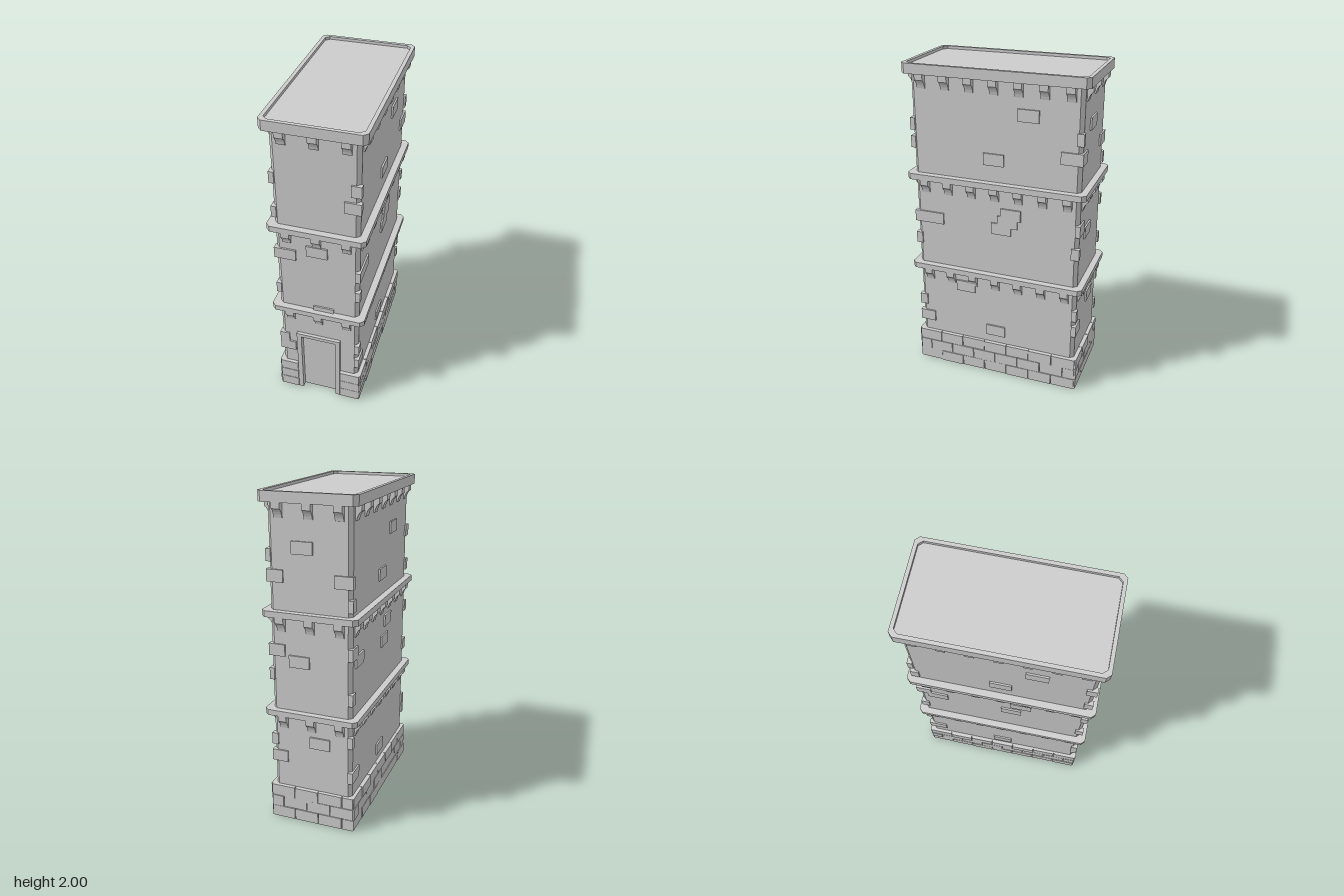
import * as THREE from 'three';

const mat = new THREE.MeshStandardMaterial({ color: 0xcccccc, flatShading: true });
const WX = 0.247, WZ = 0.517; // wall half sizes

function mesh(parent, name, geo) {
  const m = new THREE.Mesh(geo, mat);
  m.name = name;
  parent.add(m);
  return m;
}

function group(parent, name) {
  const g = new THREE.Group();
  g.name = name;
  parent.add(g);
  return g;
}

// Box given by its min and max corners
function block(parent, name, x0, x1, y0, y1, z0, z1) {
  const m = mesh(parent, name, new THREE.BoxGeometry(x1 - x0, y1 - y0, z1 - z0));
  m.position.set((x0 + x1) / 2, (y0 + y1) / 2, (z0 + z1) / 2);
  return m;
}

// Rectangle with cut corners; shape y maps to -z. Optional notch on the front edge.
function chamfered(hx, hz, c, notch) {
  const pts = [[-hx + c, -hz]];
  if (notch) pts.push([notch.x0, -hz], [notch.x0, -notch.z], [notch.x1, -notch.z], [notch.x1, -hz]);
  pts.push([hx - c, -hz], [hx, -hz + c], [hx, hz - c], [hx - c, hz], [-hx + c, hz], [-hx, hz - c], [-hx, -hz + c]);
  return new THREE.Shape(pts.map(p => new THREE.Vector2(...p)));
}

function slab(parent, name, shape, y0, y1) {
  const geo = new THREE.ExtrudeGeometry(shape, { depth: y1 - y0, bevelEnabled: false });
  geo.rotateX(-Math.PI / 2);
  mesh(parent, name, geo).position.y = y0;
}

// Turned holder for one side: local x runs along the wall, local z points outward
function side(parent, name, angle) {
  const g = group(parent, name);
  g.rotation.y = angle;
  return g;
}

let seed = 7;
function rnd() {
  seed = (seed * 16807) % 2147483647;
  return seed / 2147483647;
}

export function createModel() {
  const root = new THREE.Group();
  root.name = 'tower';
  const door = { x0: -0.115, x1: 0.105, z: 0.5 };

  // Walls, with the doorway recessed into the lowest part
  slab(root, 'lowerWall', chamfered(WX, WZ, 0.022, door), 0, 0.475);
  slab(root, 'upperWall', chamfered(WX, WZ, 0.022), 0.475, 1.96);

  // Door surround
  const frame = new THREE.Shape([[-0.145, 0], [-0.115, 0], [-0.115, 0.475], [0.105, 0.475], [0.105, 0],
    [0.135, 0], [0.135, 0.5], [-0.145, 0.5]].map(p => new THREE.Vector2(...p)));
  mesh(root, 'doorFrame', new THREE.ExtrudeGeometry(frame, { depth: 0.035, bevelEnabled: false })).position.z = 0.501;

  // String courses and roof parapet
  slab(root, 'lowerCornice', chamfered(0.288, 0.556, 0.024), 0.695, 0.73);
  slab(root, 'middleCornice', chamfered(0.288, 0.556, 0.024), 1.3, 1.337);
  slab(root, 'roof', chamfered(0.288, 0.556, 0.024), 1.94, 1.983);
  const rim = chamfered(0.288, 0.556, 0.024);
  rim.holes.push(chamfered(0.265, 0.534, 0.024));
  slab(root, 'parapet', rim, 1.983, 2);

  // Corbels: straight face on top, hollow curve below
  const profile = new THREE.Shape();
  profile.moveTo(-0.01, 0);
  profile.lineTo(-0.01, -0.085);
  profile.lineTo(0.006, -0.085);
  profile.quadraticCurveTo(0.012, -0.045, 0.034, -0.034);
  profile.lineTo(0.034, 0);
  const corbelGeo = new THREE.ExtrudeGeometry(profile, { depth: 0.05, bevelEnabled: false, curveSegments: 4 });
  corbelGeo.translate(0, 0, -0.025);
  corbelGeo.rotateY(-Math.PI / 2);

  // Wall faces: [name, turn, wall distance, corbel count, spacing, loose bricks as (along, height)]
  const faces = [
    ['front', 0, WZ, 3, 0.177, [[0, 1.18], [0.033, 0.724]]],
    ['right', Math.PI / 2, WX, 7, 0.149,
      [[0.205, 1.755], [-0.005, 1.475], [0.1, 1.14], [0.04, 1.04], [-0.4, 1.05], [-0.2, 0.6], [0, 0.31], [0.08, 1.09]]],
    ['back', Math.PI, WZ, 3, 0.177, [[-0.04, 1.7], [-0.07, 1.04], [0.05, 0.54]]],
    ['left', -Math.PI / 2, WX, 7, 0.149,
      [[0.2, 1.72], [0, 1.47], [0.12, 1.15], [0.06, 1.03], [-0.4, 1.06], [0, 0.31]]],
  ];
  for (const [name, turn, dist, count, step, bricks] of faces) {
    const g = side(root, name + 'Details', turn);
    for (const y of [0.695, 1.3, 1.94]) {
      for (let i = 0; i < count; i++) {
        mesh(g, 'corbel', corbelGeo).position.set((i - (count - 1) / 2) * step, y, dist);
      }
    }
    for (const [u, y] of bricks) {
      block(g, 'wallBrick', u - 0.063, u + 0.063, y - 0.036, y + 0.036, dist - 0.02, dist + 0.01);
    }
  }

  // Corner stones: [height, length along x, length along z]
  const quoins = group(root, 'cornerStones');
  const corners = [
    [1, 1, [[1.64, 0.06, 0.03], [1.53, 0.096, 0.03], [1.05, 0.03, 0.11], [0.9, 0.03, 0.04], [0.45, 0.03, 0.05], [0.33, 0.03, 0.1]]],
    [-1, 1, [[1.645, 0.03, 0.06], [1.42, 0.03, 0.05], [1.13, 0.13, 0.04], [0.86, 0.03, 0.05], [0.44, 0.06, 0.04], [0.37, 0.1, 0.04]]],
    [1, -1, [[1.65, 0.03, 0.04], [1.535, 0.1, 0.13], [1.1, 0.1, 0.03], [0.95, 0.03, 0.05], [0.53, 0.04, 0.03], [0.42, 0.1, 0.03]]],
    [-1, -1, [[1.53, 0.11, 0.03], [1.4, 0.03, 0.05], [1.12, 0.03, 0.09], [0.85, 0.03, 0.05], [0.35, 0.03, 0.12], [0.58, 0.03, 0.03]]],
  ];
  for (const [sx, sz, list] of corners) {
    for (const [y, lx, lz] of list) {
      const m = mesh(quoins, 'cornerStone', new THREE.BoxGeometry(lx, 0.072, lz));
      m.position.set(sx * (0.257 - lx / 2), y, sz * (0.527 - lz / 2));
    }
  }

  // Plinth: three staggered rows of blocks over a core, left open at the door
  const plinth = group(root, 'plinth');
  block(plinth, 'plinthCore', -0.257, 0.257, 0.002, 0.215, -0.527, 0.505 - 0.01);
  block(plinth, 'plinthCoreFrontRight', -0.257, -0.145, 0.002, 0.215, 0.4, 0.527);
  block(plinth, 'plinthCoreFrontLeft', 0.135, 0.257, 0.002, 0.215, 0.4, 0.527);
  const rowH = 0.222 / 3;
  // Row of blocks from a to b along the wall, shifted by part of a block
  function course(g, a, b, row, dist, size, shift) {
    let u = a;
    let next = a + size * (shift || 1);
    while (u < b - 0.001) {
      if (b - next < size * 0.3) next = b;
      const out = dist + 0.004 + rnd() * 0.007;
      block(g, 'plinthBlock', u + 0.002, next - 0.002, row * rowH + 0.001, (row + 1) * rowH - 0.002, dist - 0.03, out);
      u = next;
      next = u + size;
    }
  }
  for (const [name, turn, dist, half] of [['right', Math.PI / 2, 0.262, 0.533], ['left', -Math.PI / 2, 0.262, 0.533],
    ['back', Math.PI, 0.532, 0.264]]) {
    const g = side(plinth, name + 'Plinth', turn);
    for (let r = 0; r < 3; r++) course(g, -half, half, r, dist, 0.152, r % 2 ? 0.5 : 1);
  }
  const frontPlinth = side(plinth, 'frontPlinth', 0);
  for (let r = 0; r < 3; r++) {
    course(frontPlinth, -0.264, -0.145, r, 0.532, 0.15, 1);
    course(frontPlinth, 0.135, 0.264, r, 0.532, 0.15, 1);
  }
  return root;
}
